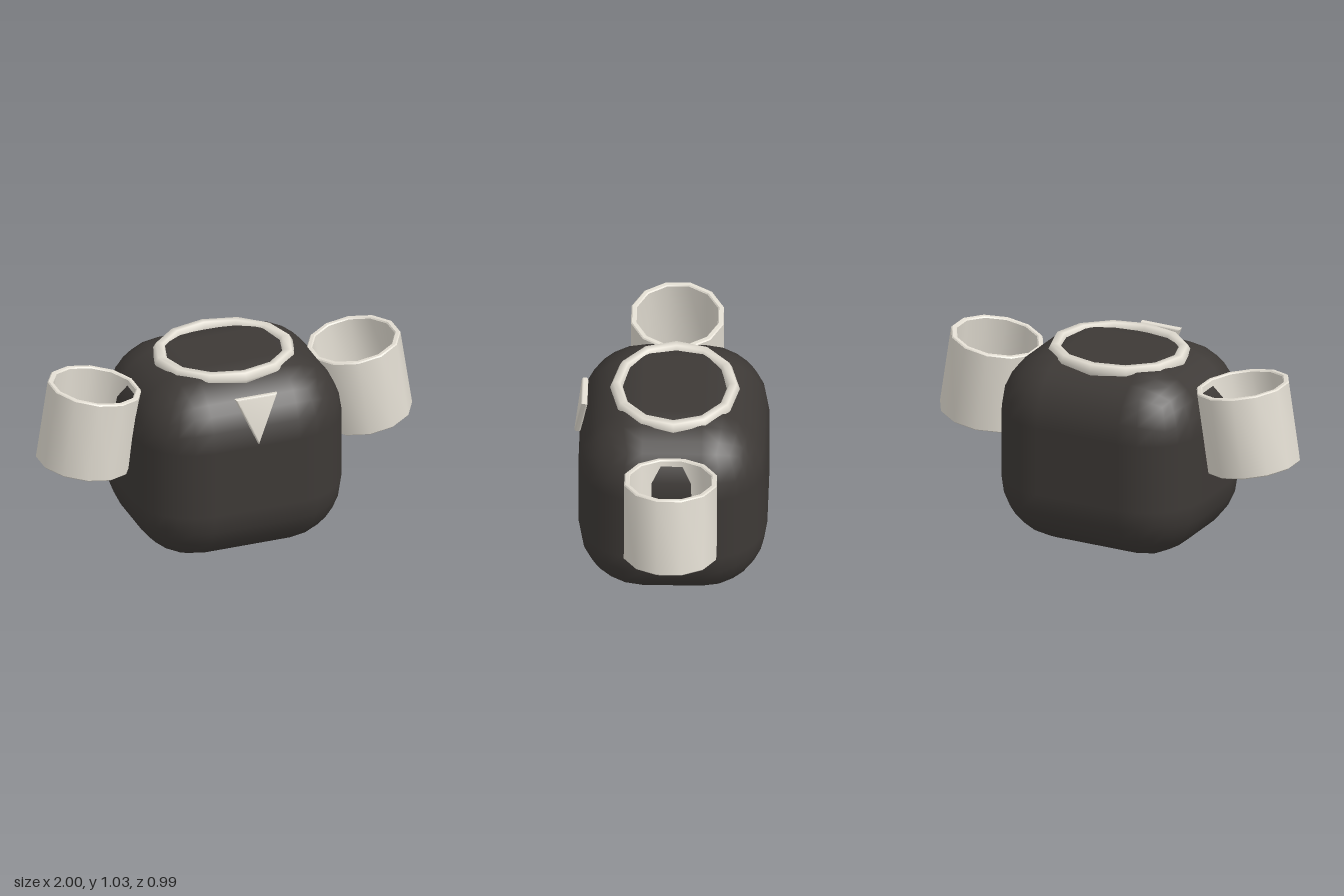
import * as THREE from 'three';
import { RoundedBoxGeometry } from 'three/addons/geometries/RoundedBoxGeometry.js';
import { toCreasedNormals } from 'three/addons/utils/BufferGeometryUtils.js';

export function createModel() {
  const group = new THREE.Group();
  const dark = new THREE.MeshStandardMaterial({ color: 0x3d3936 });
  const cream = new THREE.MeshStandardMaterial({ color: 0xe2ddd2 });

  const add = (name, geometry, material, x, y, z) => {
    const mesh = new THREE.Mesh(geometry, material);
    mesh.name = name;
    mesh.position.set(x, y, z);
    group.add(mesh);
    return mesh;
  };

  // Torso: box with very generous rounding
  add('torso', new RoundedBoxGeometry(1.12, 1.02, 0.96, 3, 0.33), dark, 0, 0.51, -0.015);

  // Collar: flattened twelve-sided ring sunk into the top
  const ring = new THREE.TorusGeometry(0.337, 0.038, 6, 12);
  ring.rotateX(Math.PI / 2);
  ring.scale(1, 1, 0.88);
  add('collar', ring, cream, 0, 0.997, -0.02);

  // Shoulder sleeves: open tubes with slightly bevelled rims, leaning inwards
  const outer = 0.243, inner = 0.213, half = 0.215, bevel = 0.006;
  const profile = [
    [inner, -half + bevel], [inner + bevel, -half], [outer - bevel, -half], [outer, -half + bevel],
    [outer, half - bevel], [outer - bevel, half], [inner + bevel, half], [inner, half - bevel],
    [inner, -half + bevel],
  ].map(([r, y]) => new THREE.Vector2(r, y));
  const tube = new THREE.LatheGeometry(profile, 12);
  tube.rotateY(Math.PI / 12);
  const sleeve = toCreasedNormals(tube, 0.7);
  for (const [name, side] of [['leftSleeve', 1], ['rightSleeve', -1]]) {
    add(name, sleeve, cream, side * 0.735, 0.727, -0.015).rotation.z = side * 0.152;
  }

  // Chest badge: rounded triangular plate pointing down, tilted back
  const triangle = new THREE.Shape([
    new THREE.Vector2(-0.1, 0.125), new THREE.Vector2(0, -0.108), new THREE.Vector2(0.1, 0.125),
  ]);
  const plate = new THREE.ExtrudeGeometry(triangle, {
    depth: 0.01, bevelThickness: 0.012, bevelSize: 0.012, bevelSegments: 3,
  });
  plate.translate(0, 0, -0.005);
  add('chestBadge', toCreasedNormals(plate, 0.7), cream, 0, 0.838, 0.458).rotation.x = -0.15;

  return group;
}
